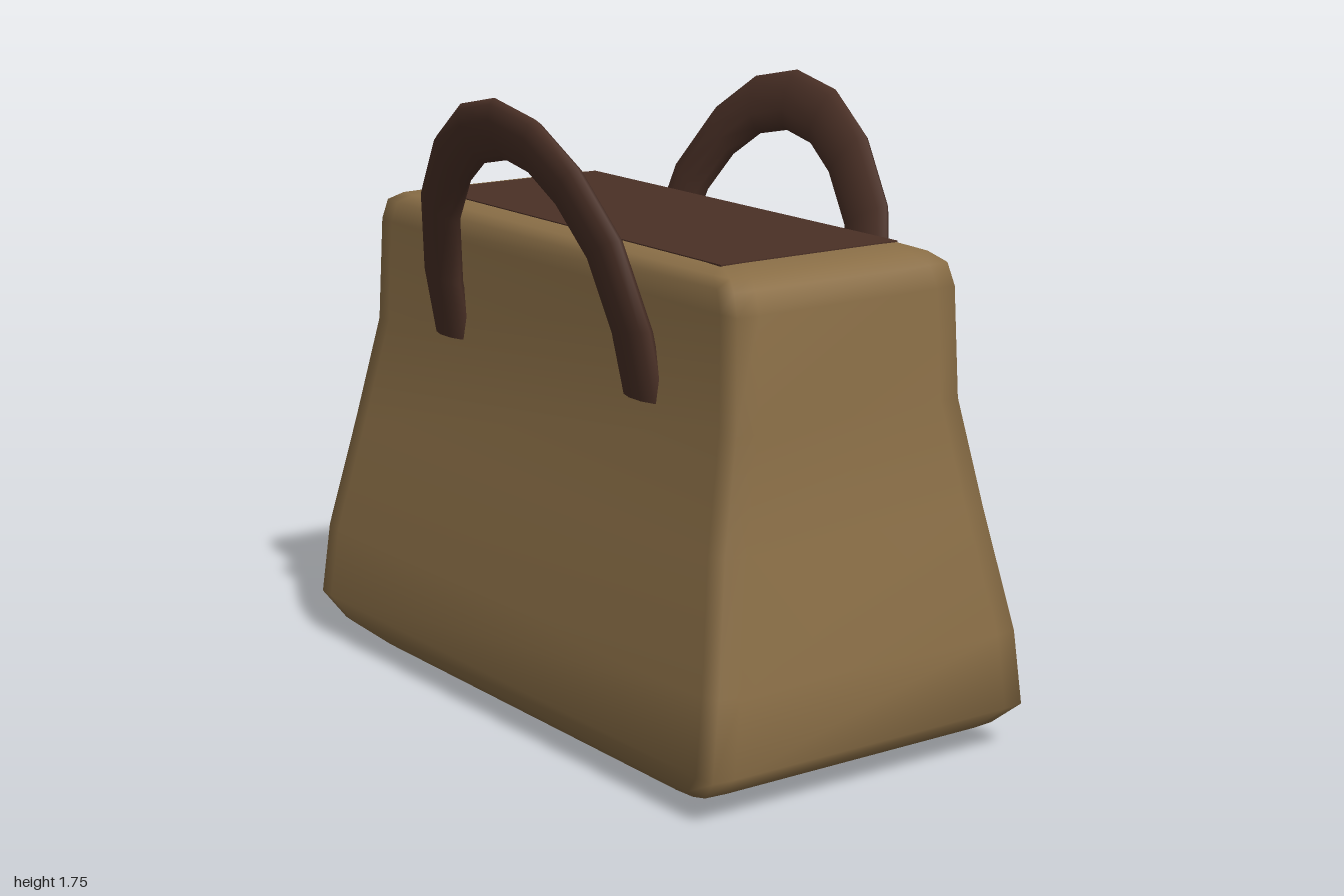
import * as THREE from 'three';

const tan = new THREE.MeshStandardMaterial({ color: 0x8b6f47 });
tan.name = 'tanLeather';
const brown = new THREE.MeshStandardMaterial({ color: 0x4a3026 });
brown.name = 'darkBrownLeather';

// Skin a list of equal-length rings; rings run counter-clockwise seen from the end they travel towards
function loft(rings, hardCaps) {
  const n = rings[0].length;
  const points = rings.flat();
  const index = [];
  for (let r = 0; r < rings.length - 1; r++) {
    for (let i = 0; i < n; i++) {
      const a = r * n + i, b = r * n + (i + 1) % n;
      index.push(a, b, b + n, a, b + n, a + n);
    }
  }
  [rings[0], rings[rings.length - 1]].forEach((ring, end) => {
    let start = end ? (rings.length - 1) * n : 0;
    if (hardCaps) {
      start = points.length;
      points.push(...ring);
    }
    const centre = points.length;
    points.push(ring.reduce((s, p) => s.add(p), new THREE.Vector3()).divideScalar(n));
    for (let i = 0; i < n; i++) {
      const a = start + i, b = start + (i + 1) % n;
      if (end) index.push(centre, a, b);
      else index.push(centre, b, a);
    }
  });
  const geometry = new THREE.BufferGeometry().setFromPoints(points);
  geometry.setIndex(index);
  geometry.computeVertexNormals();
  return geometry;
}

// Rectangle with extra points beside each corner, so shading softens only near the edges
function rectangleRing(y, hx, hz) {
  const s = 0.07, c = 0.006;
  const corner = [[hx - s, hz], [hx - c, hz - c], [hx, hz - s]];
  const flip = [...corner].reverse();
  return [
    ...corner,
    ...flip.map(([x, z]) => [x, -z]),
    ...corner.map(([x, z]) => [-x, -z]),
    ...flip.map(([x, z]) => [-x, z]),
  ].map(([x, z]) => new THREE.Vector3(x, y, z));
}

// Handle: flattened tube along an arch that leans outwards
function handleGeometry() {
  const half = [[0.47, 0], [0.465, 0.18], [0.405, 0.39], [0.285, 0.54], [0.15, 0.63]];
  const path = [...half, [0, 0.66], ...half.map(([z, y]) => [-z, y]).reverse()];
  const sides = 10, lean = 0.207;
  const rings = path.map(([z, y], k) => {
    const p = path[Math.max(k - 1, 0)], q = path[Math.min(k + 1, path.length - 1)];
    let dz = q[0] - p[0], dy = q[1] - p[1];
    if (k === 0 || k === path.length - 1) { dz = 0; dy = k ? -1 : 1; }
    const len = Math.hypot(dz, dy);
    const nz = dy / len, ny = -dz / len;
    return Array.from({ length: sides }, (_, i) => {
      const t = (i / sides) * Math.PI * 2;
      const w = Math.cos(t) * 0.085, h = Math.sin(t) * 0.034;
      const yy = y + ny * w;
      return new THREE.Vector3(0.355 + h + yy * lean, 1 + yy, z + nz * w);
    });
  });
  return loft(rings, true);
}

export function createModel() {
  const bag = new THREE.Group();
  bag.name = 'handbag';
  const add = (name, geometry, material) => {
    const mesh = new THREE.Mesh(geometry, material);
    mesh.name = name;
    bag.add(mesh);
    return mesh;
  };

  // Body: height, half width, half length
  const profile = [
    [0, 0.36, 0.68], [0.015, 0.44, 0.8], [0.06, 0.49, 0.92], [0.13, 0.525, 1],
    [0.34, 0.5, 0.99], [0.68, 0.435, 0.925], [0.98, 0.372, 0.885],
    [1.28, 0.362, 0.873], [1.34, 0.355, 0.85], [1.365, 0.33, 0.8], [1.38, 0.29, 0.71],
  ];
  add('body', loft(profile.map((p) => rectangleRing(...p)), false), tan);

  // Dark panel filling the top opening
  add('opening', new THREE.BoxGeometry(0.58, 0.008, 1.41), brown).position.set(0, 1.379, 0.005);

  // Handles, one turned to face the other way
  const arch = handleGeometry();
  add('leftHandle', arch, brown);
  add('rightHandle', arch, brown).rotation.y = Math.PI;
  return bag;
}
